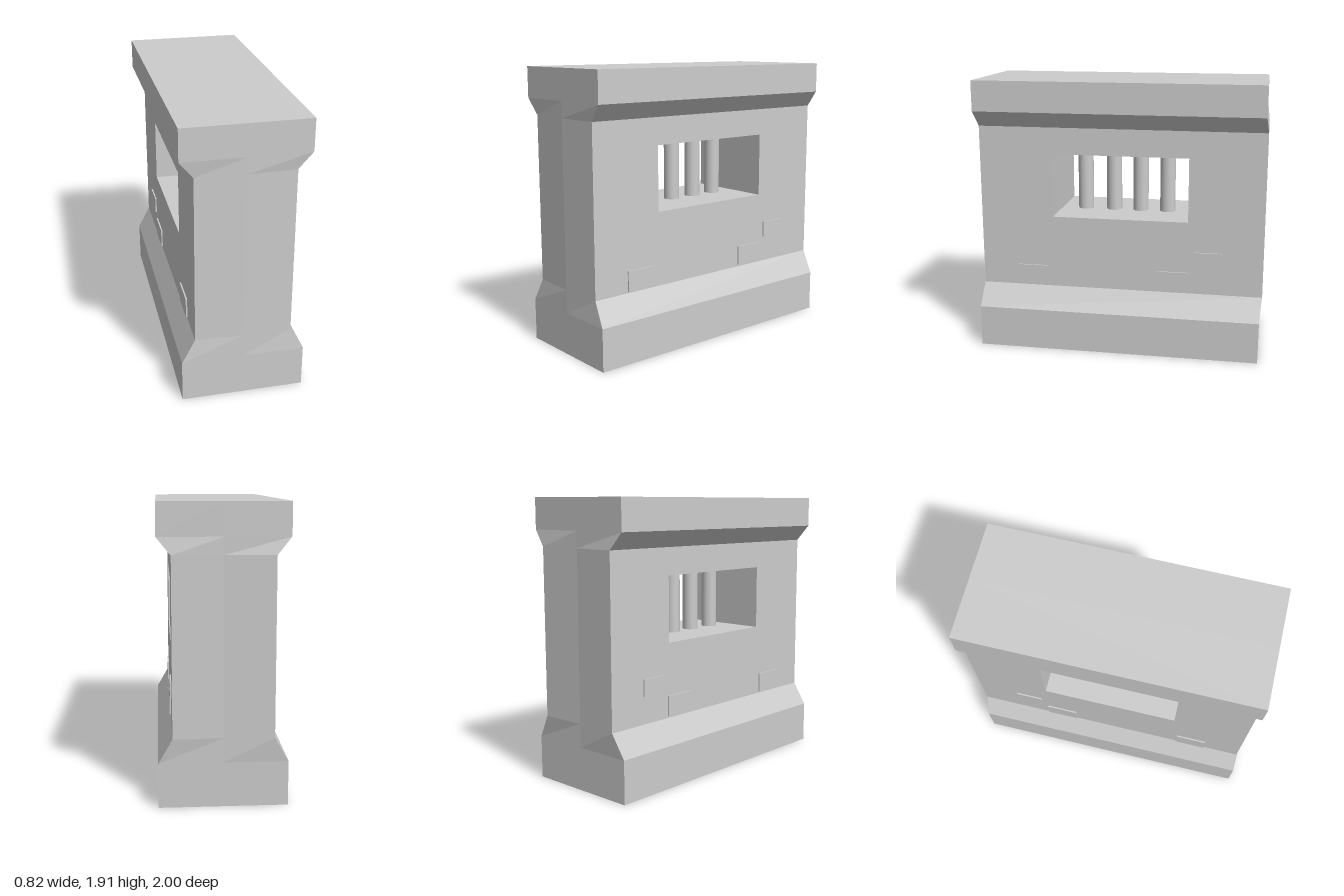
import * as THREE from 'three';

const WALL = 0.32, LEDGE = 0.41;      // half widths
const stone = new THREE.MeshStandardMaterial({ color: 0xcccccc });
stone.name = 'grey stone';

function add(group, name, geometry) {
  const mesh = new THREE.Mesh(geometry, stone);
  mesh.name = name;
  group.add(mesh);
  return mesh;
}

// The narrow wall ends fold slightly along their centre line
function wallEnd(x, front) {
  const middle = Math.abs(x) < 0.01;
  return front ? (middle ? 1 : 0.988) : (middle ? -0.985 : -1);
}

// Block of three levels; each level is [y, half width, follows the wall fold]
function ledge(levels) {
  const geo = new THREE.BoxGeometry(2, 2, 2, 2, 2, 1).toNonIndexed();
  const p = geo.attributes.position;
  for (let i = 0; i < p.count; i++) {
    const [y, half, folded] = levels[Math.round(p.getY(i)) + 1];
    const x = p.getX(i) * half, front = p.getZ(i) > 0;
    p.setXYZ(i, x, y, folded ? wallEnd(x, front) : front ? 1 : -0.985);
  }
  geo.computeVertexNormals();
  return geo;
}

// Wall pierced by a rectangular window
function wall() {
  const rect = (Type, u0, y0, u1, y1) => {
    const s = new Type();
    s.moveTo(u0, y0).lineTo(u1, y0).lineTo(u1, y1).lineTo(u0, y1).closePath();
    return s;
  };
  const shape = rect(THREE.Shape, -1, 0.45, 1, 1.59);
  shape.holes.push(rect(THREE.Path, -0.47, 0.96, 0.48, 1.405));
  const geo = new THREE.ExtrudeGeometry(shape, { depth: WALL * 2, steps: 2, bevelEnabled: false });
  geo.rotateY(Math.PI / 2).translate(-WALL, 0, 0);
  const p = geo.attributes.position;
  for (let i = 0; i < p.count; i++) {
    const z = p.getZ(i);
    if (Math.abs(z) > 0.9) p.setZ(i, wallEnd(p.getX(i), z > 0));
  }
  geo.computeVertexNormals();
  return geo;
}

export function createModel() {
  const group = new THREE.Group();
  group.name = 'barredWall';

  add(group, 'base', ledge([[0, LEDGE, false], [0.29, LEDGE, false], [0.45, WALL, true]]));
  add(group, 'wall', wall());
  add(group, 'coping', ledge([[1.59, WALL, true], [1.7, LEDGE, false], [1.91, LEDGE, false]]));

  // Window bars
  for (const z of [0.3, 0.09, -0.105, -0.3]) {
    add(group, 'windowBar', new THREE.CylinderGeometry(0.055, 0.055, 0.445, 32, 1, true))
      .position.set(0, 1.1825, z);
  }

  // Raised stones on both faces: z centre, y centre, length, height
  const stones = [[0.62, 0.53, 0.22, 0.14], [-0.38, 0.533, 0.22, 0.135], [-0.625, 0.693, 0.19, 0.115]];
  for (const side of [-1, 1]) {
    for (const [z, y, length, height] of stones) {
      add(group, 'raisedStone', new THREE.BoxGeometry(0.03, height, length))
        .position.set(side * (WALL - 0.005), y, z);
    }
  }
  return group;
}
